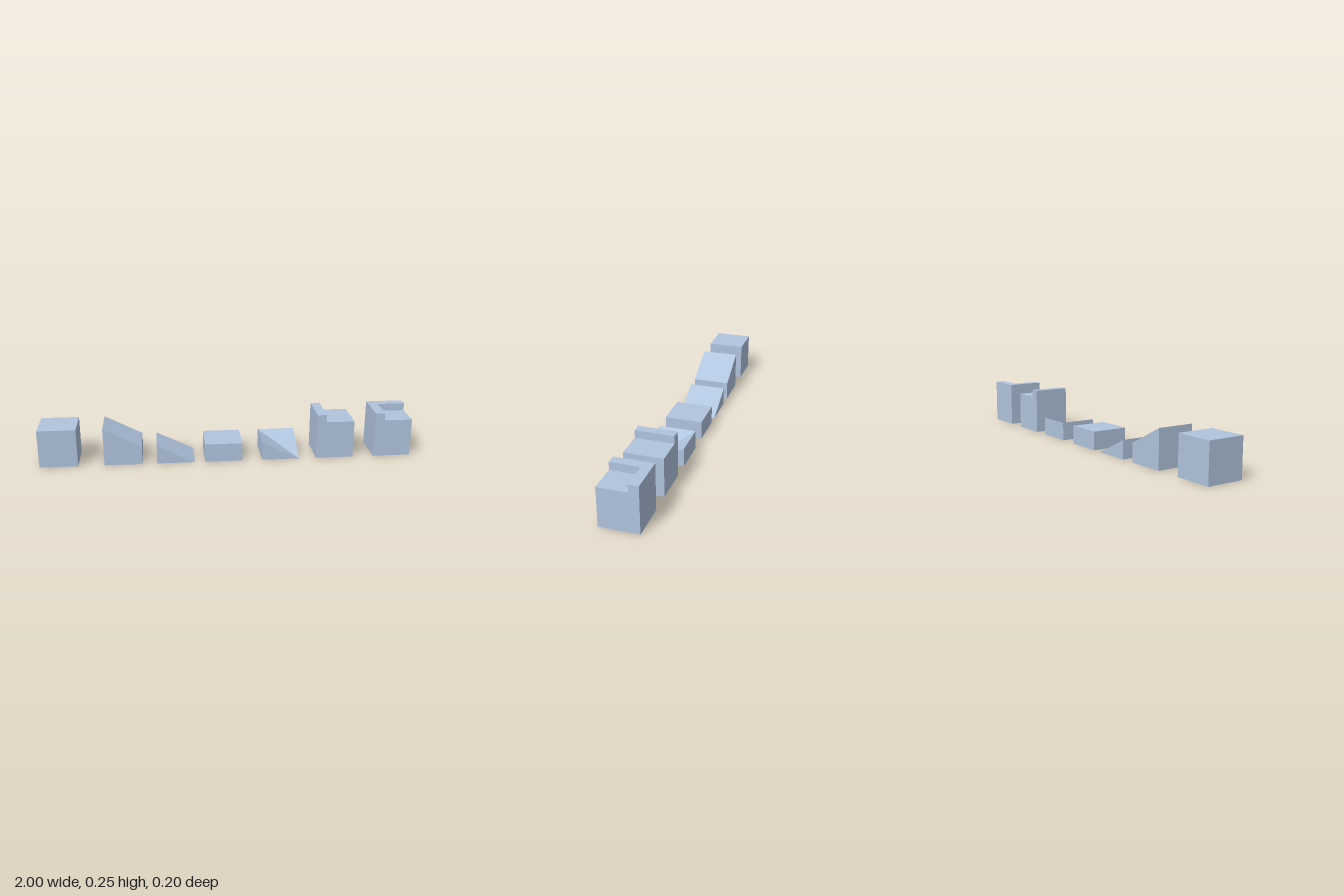
import * as THREE from 'three';

const SIZE = 0.202, HALF = SIZE / 2;   // footprint of every block
const TALL = 0.205, LOW = 0.1;         // full and half block heights
const LIP = 0.0505, LIP_TOP = 0.246;   // raised edge width and top

export function createModel() {
  const model = new THREE.Group();
  const stone = new THREE.MeshStandardMaterial({ color: 0xb0c4de });
  stone.name = 'paleBlueStone';

  const add = (name, geometry, x) => {
    const mesh = new THREE.Mesh(geometry, stone);
    mesh.name = name;
    mesh.position.x = x;
    model.add(mesh);
  };

  // Block whose side outline (x, y) runs straight through from back to front
  const profileBlock = (points) => {
    const shape = new THREE.Shape(points.map(([x, y]) => new THREE.Vector2(x, y)));
    return new THREE.ExtrudeGeometry(shape, { depth: SIZE, bevelEnabled: false })
      .translate(0, 0, -HALF);
  };
  const slab = (left, right) =>
    profileBlock([[-HALF, 0], [HALF, 0], [HALF, right], [-HALF, left]]);

  add('cubeBlock', slab(TALL, TALL), -0.899);
  add('upperRamp', slab(TALL, LOW), -0.559);
  add('lowerRamp', profileBlock([[-HALF, 0], [HALF, 0], [-HALF, LOW]]), -0.279);
  add('halfBlock', slab(LOW, LOW), -0.022);
  add('innerCornerRamp', innerCorner(), 0.287);
  add('edgeBlock', profileBlock([
    [-HALF, 0], [HALF, 0], [HALF, TALL], [LIP - HALF, TALL], [LIP - HALF, LIP_TOP], [-HALF, LIP_TOP],
  ]), 0.582);

  // Corner block: plain body with an L-shaped lip along its left and back edges
  add('cornerBlockBody', slab(TALL, TALL), 0.899);
  const ell = new THREE.Shape([
    [-HALF, -HALF], [LIP - HALF, -HALF], [LIP - HALF, HALF - LIP],
    [HALF, HALF - LIP], [HALF, HALF], [-HALF, HALF],
  ].map(([x, y]) => new THREE.Vector2(x, y)));
  const lip = new THREE.ExtrudeGeometry(ell, { depth: LIP_TOP - TALL, bevelEnabled: false })
    .rotateX(-Math.PI / 2).translate(0, TALL, 0);
  add('cornerBlockLip', lip, 0.899);

  return model;
}

// Two slopes meeting in a valley that drops to the front corner
function innerCorner() {
  const at = (x, y, z) => [x * HALF, y * LOW, z * HALF];
  const backLeft = at(-1, 0, -1), backRight = at(1, 0, -1);
  const frontLeft = at(-1, 0, 1), frontRight = at(1, 0, 1);
  const topBackLeft = at(-1, 1, -1), topBackRight = at(1, 1, -1), topFrontLeft = at(-1, 1, 1);
  const triangles = [
    [topBackLeft, topFrontLeft, frontRight], [topBackLeft, frontRight, topBackRight], // slopes
    [frontLeft, frontRight, topFrontLeft],                                            // front
    [frontRight, backRight, topBackRight],                                            // +x side
    [backRight, backLeft, topBackLeft], [backRight, topBackLeft, topBackRight],       // back
    [backLeft, frontLeft, topFrontLeft], [backLeft, topFrontLeft, topBackLeft],       // -x side
    [backLeft, backRight, frontRight], [backLeft, frontRight, frontLeft],             // underside
  ];
  const geometry = new THREE.BufferGeometry();
  geometry.setAttribute('position', new THREE.Float32BufferAttribute(triangles.flat(2), 3));
  geometry.computeVertexNormals();
  return geometry;
}
